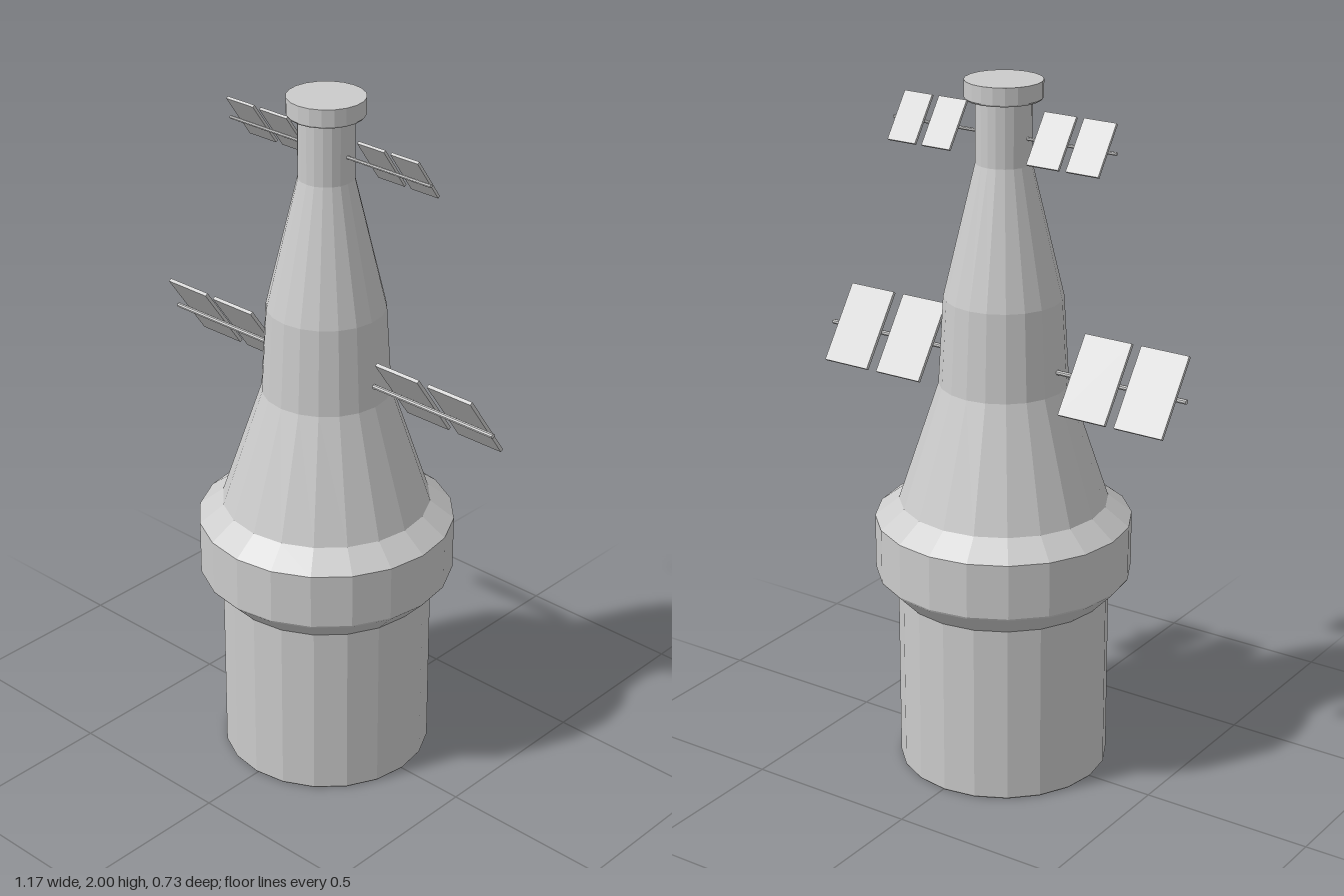
import * as THREE from 'three';

const SIDES = 20;
const CENTRE_X = -0.005;
const TILT = THREE.MathUtils.degToRad(35);

export function createModel() {
  const model = new THREE.Group();
  model.name = 'solarTower';
  const material = new THREE.MeshStandardMaterial({ color: 0xcccccc, flatShading: true });

  const add = (parent, name, geometry, x = 0, y = 0, z = 0) => {
    const mesh = new THREE.Mesh(geometry, material);
    mesh.name = name;
    mesh.position.set(x, y, z);
    parent.add(mesh);
    return mesh;
  };

  // Faceted body of revolution from [radius, height] pairs
  const turned = (name, profile) =>
    add(model, name,
      new THREE.LatheGeometry(profile.map(([r, y]) => new THREE.Vector2(r, y)), SIDES),
      CENTRE_X);

  // Tower: base drum, flared collar, tapering hull, neck and end cap
  turned('baseDrum', [[0, 0], [0.298, 0], [0.3, 0.003], [0.3, 0.524]]);
  turned('collar', [[0.3, 0.524], [0.36, 0.586], [0.363, 0.592], [0.363, 0.751], [0.295, 0.804]]);
  turned('hull', [[0.295, 0.804], [0.181, 1.148], [0.166, 1.398], [0.077, 1.773]]);
  turned('neck', [[0.077, 1.773], [0.077, 1.95]]);
  turned('endCap', [[0, 1.948], [0.103, 1.948], [0.107, 1.953], [0.107, 2], [0, 2]]);

  // Tilted panel array: one cross rod with panels mounted on its rear face
  const addArray = (name, y, halfRod, rodRadius, offset, panels) => {
    const array = new THREE.Group();
    array.name = name;
    array.position.y = y;
    array.rotation.x = TILT;
    model.add(array);
    const rod = new THREE.CylinderGeometry(rodRadius, rodRadius, halfRod * 2, 8);
    add(array, 'crossRod', rod.rotateZ(Math.PI / 2));
    for (const [x, width, length, thickness] of panels) {
      add(array, 'solarPanel', new THREE.BoxGeometry(width, length, thickness), x, 0, -offset);
    }
  };

  addArray('lowerArray', 1.21, 0.587, 0.007, 0.016,
    [-0.488, -0.311, 0.3, 0.481].map((x) => [x, 0.148, 0.236, 0.01]));

  addArray('upperArray', 1.848, 0.358, 0.005, 0.014, [
    [-0.288, 0.1, 0.153, 0.008],
    [-0.165, 0.1, 0.153, 0.008],
    [0.18, 0.092, 0.146, 0.008],
    [0.294, 0.092, 0.146, 0.008],
  ]);

  return model;
}
